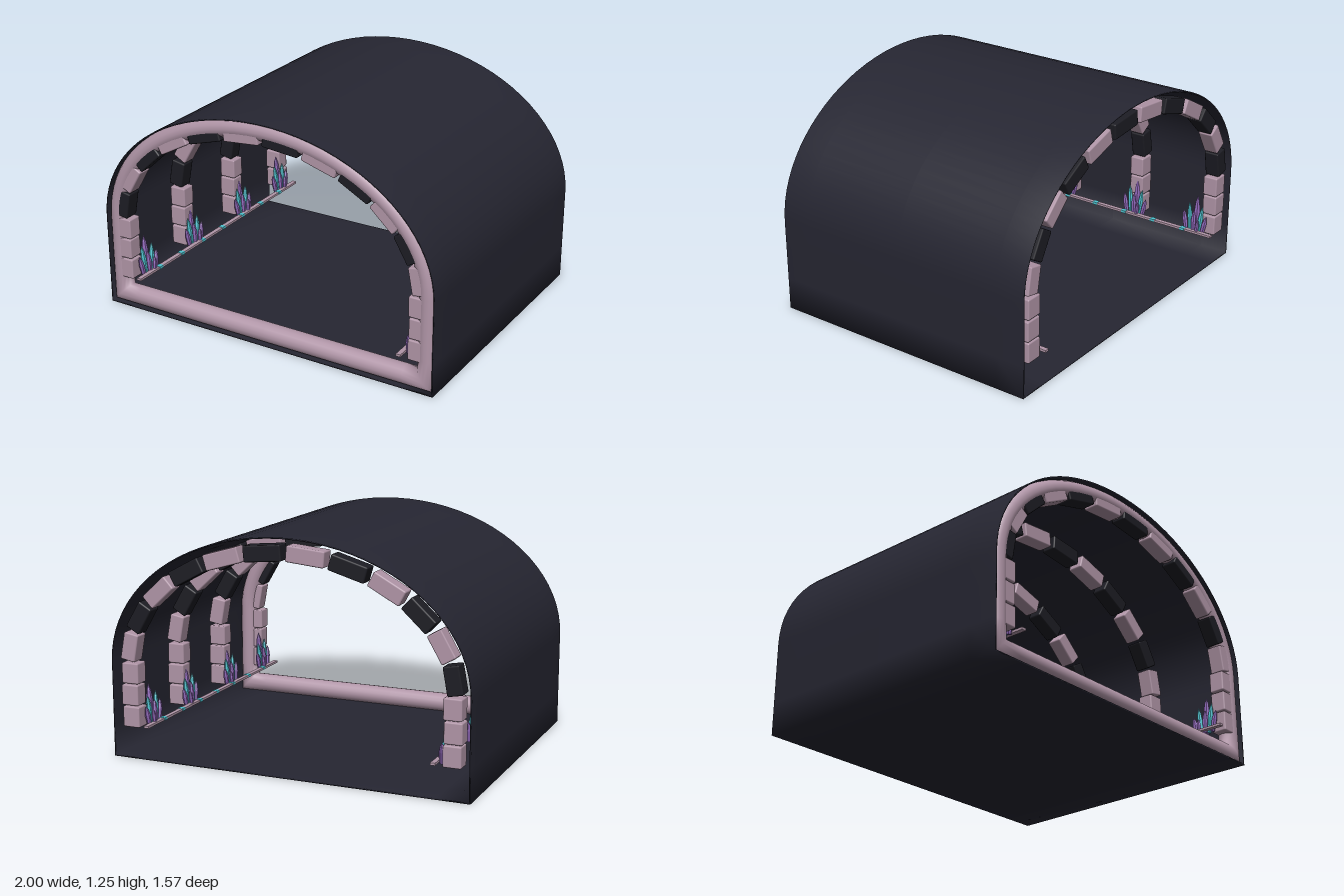
import * as THREE from 'three';
import { RoundedBoxGeometry } from 'three/addons/geometries/RoundedBoxGeometry.js';

const mat = (name, color, extra = {}) =>
  Object.assign(new THREE.MeshStandardMaterial({ color, ...extra }), { name });

const SPRING = 0.52; // height where the walls turn into the elliptical vault
const RISE = 0.725;
const HALF = 0.785; // half length of the tunnel

// Tunnel outline moved inward by d, as a closed counter-clockwise loop
function outline(d) {
  const w = 1 - d;
  const pts = [[-0.82, d], [0, d], [0.82, d], [w, d], [w, 0.18], [w, 0.36]];
  for (let i = 0; i <= 40; i++) {
    const a = (Math.PI * i) / 40;
    pts.push([w * Math.cos(a), SPRING + (RISE - d) * Math.sin(a)]);
  }
  pts.push([-w, 0.36], [-w, 0.18], [-w, d]);
  return pts;
}

// Sweeps a closed section of [inset, z] points around the outline
function sweep(section) {
  const rings = section.map(([d, z]) => outline(d).map(([x, y]) => [x, y, z]));
  const n = rings[0].length, m = rings.length, index = [];
  for (let j = 0; j < m; j++) {
    for (let i = 0; i < n; i++) {
      const a = j * n + i, b = j * n + ((i + 1) % n);
      const c = ((j + 1) % m) * n + i, e = ((j + 1) % m) * n + ((i + 1) % n);
      index.push(a, b, c, b, e, c);
    }
  }
  const g = new THREE.BufferGeometry();
  g.setAttribute('position', new THREE.Float32BufferAttribute(rings.flat(2), 3));
  g.setIndex(index);
  g.computeVertexNormals();
  return g;
}

export function createModel() {
  const model = new THREE.Group();
  model.name = 'tunnel';
  const shellMat = mat('dark rock', 0x262632, { side: THREE.DoubleSide });
  const stone = mat('pale mauve stone', 0xb196a8);
  const darkStone = mat('black stone', 0x1d1d24);
  const purple = mat('purple crystal', 0x8f66b8, { flatShading: true });
  const cyan = mat('cyan crystal', 0x4fc3d0, { flatShading: true });

  const add = (parent, name, geometry, material, x = 0, y = 0, z = 0) => {
    const mesh = new THREE.Mesh(geometry, material);
    mesh.name = name;
    mesh.position.set(x, y, z);
    parent.add(mesh);
    return mesh;
  };

  // Thin shell: outer skin from front to back, then inner skin back again
  const t = 0.008;
  add(model, 'tunnelShell', sweep([
    [0, HALF], [0, 0.62], [0, 0], [0, -0.62], [0, -HALF],
    [t, -HALF], [t, -0.62], [t, 0], [t, 0.62], [t, HALF],
  ]), shellMat);

  // Round moulding around the front opening
  const round = [];
  for (let i = 0; i < 16; i++) {
    const a = (i / 16) * Math.PI * 2;
    round.push([0.056 - 0.054 * Math.cos(a), 0.729 - 0.054 * Math.sin(a)]);
  }
  round.reverse();
  const trim = sweep(round);
  // Keep the faces pointing out of the moulding
  const p = trim.attributes.position, nrm = trim.attributes.normal;
  let facing = 0;
  for (let i = 0; i < p.count; i++) facing += (p.getZ(i) - 0.729) * nrm.getZ(i);
  if (facing < 0) {
    trim.setIndex(Array.from(trim.index.array).reverse());
    trim.computeVertexNormals();
  }
  add(model, 'frontTrim', trim, stone);

  // Stone ribs: stacked pillars and a vault of alternating blocks
  for (const z of [0.735, 0.245, -0.245, -0.735]) {
    const rib = new THREE.Group();
    rib.name = 'stoneRib';
    rib.position.z = z;
    model.add(rib);
    const pillar = new RoundedBoxGeometry(0.098, 0.113, 0.086, 1, 0.008);
    for (const s of [-1, 1]) {
      for (let i = 0; i < 3; i++) {
        add(rib, 'pillarBlock', pillar, stone, s * (0.898 + (i === 1 ? 0.004 : 0)), 0.223 + i * 0.119, 0);
      }
    }
    const at = (a) => new THREE.Vector2(0.905 * Math.cos(a), SPRING + 0.64 * Math.sin(a));
    for (let i = 0; i < 12; i++) {
      const a = at((i * Math.PI) / 12), b = at(((i + 1) * Math.PI) / 12);
      const block = add(rib, 'vaultBlock',
        new RoundedBoxGeometry(a.distanceTo(b) * 0.89, 0.085, 0.086, 1, 0.008),
        i % 2 ? darkStone : stone);
      const mid = at(((i + 0.5) * Math.PI) / 12);
      block.position.set(mid.x, mid.y, 0);
      block.rotation.z = Math.atan2(b.y - a.y, b.x - a.x);
    }
  }

  // Pointed six-sided crystal standing on its base
  const crystal = (r, h) => new THREE.LatheGeometry([
    new THREE.Vector2(0, 0), new THREE.Vector2(r * 0.8, 0), new THREE.Vector2(r, h * 0.55),
    new THREE.Vector2(r * 0.65, h * 0.82), new THREE.Vector2(0, h),
  ], 6);
  // inward offset, z offset, radius, height, lean along z, material
  const shards = [
    [0.845, 0, 0.019, 0.22, 0, purple],
    [0.83, 0.026, 0.015, 0.175, 0.1, cyan],
    [0.83, -0.026, 0.015, 0.165, -0.1, cyan],
    [0.82, 0.004, 0.015, 0.135, 0.02, purple],
    [0.825, 0.05, 0.015, 0.125, 0.2, purple],
    [0.825, -0.05, 0.015, 0.115, -0.2, purple],
    [0.808, -0.022, 0.012, 0.09, -0.1, purple],
  ];

  for (const s of [-1, 1]) {
    // Crystal clusters at the foot of each pillar
    for (const z of [0.66, 0.235, -0.255, -0.66]) {
      const cluster = new THREE.Group();
      cluster.name = 'crystalCluster';
      cluster.position.set(0, 0.166, z);
      model.add(cluster);
      for (const [x, dz, r, h, lean, m] of shards) {
        const c = add(cluster, 'crystal', crystal(r, h), m, s * x, 0, dz);
        c.rotation.set(lean, 0, s * -0.06);
      }
    }
    // Low rail along the wall with small glowing studs
    add(model, 'sideRail', new THREE.BoxGeometry(0.026, 0.013, 1.57), stone, s * 0.803, 0.18, 0);
    for (let i = 0; i < 7; i++) {
      add(model, 'railStud', new THREE.BoxGeometry(0.03, 0.015, 0.03), cyan, s * 0.803, 0.181, -0.6 + i * 0.2);
    }
  }
  return model;
}
